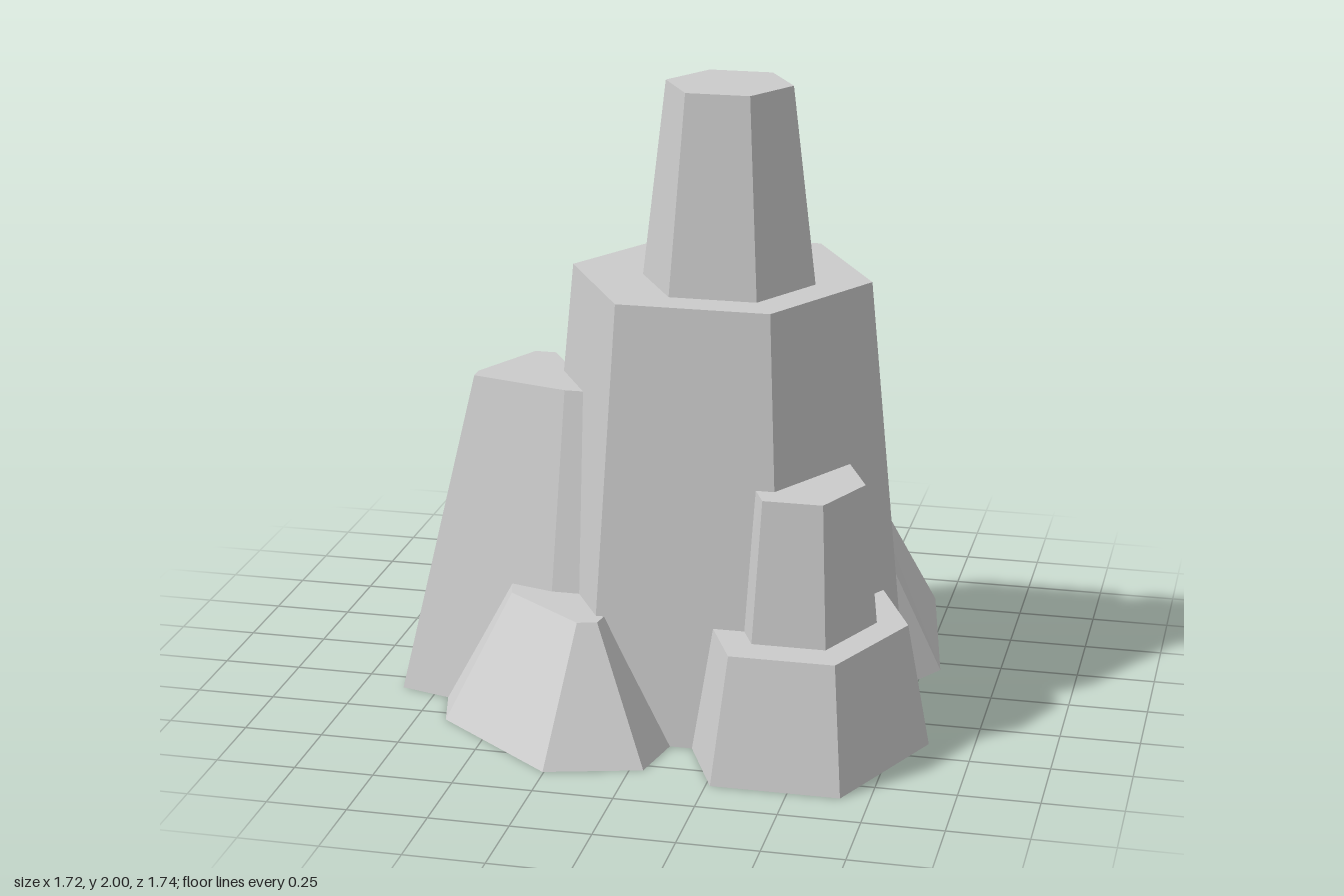
import * as THREE from 'three';

const material = new THREE.MeshStandardMaterial({ color: 0xcccccc, flatShading: true });

// Six-sided ring of [x, z] points, counter-clockwise from above; rx to the corner, az to the flat side
function hex(cx, cz, rx, az = rx * Math.sqrt(3) / 2) {
  const rz = az / (Math.sqrt(3) / 2);
  return Array.from({ length: 6 }, (_, i) => {
    const a = i * Math.PI / 3;
    return [cx + rx * Math.cos(a), cz - rz * Math.sin(a)];
  });
}

// Closed tapered column between a bottom and a top ring
function column(name, bottom, top, y0, y1) {
  const pos = [];
  const n = bottom.length;
  const b = i => [bottom[i % n][0], y0, bottom[i % n][1]];
  const t = i => [top[i % n][0], y1, top[i % n][1]];
  for (let i = 0; i < n; i++) {
    pos.push(...b(i), ...b(i + 1), ...t(i + 1), ...b(i), ...t(i + 1), ...t(i));
    if (i > 0 && i < n - 1) {
      pos.push(...t(0), ...t(i), ...t(i + 1), ...b(0), ...b(i + 1), ...b(i));
    }
  }
  const geometry = new THREE.BufferGeometry();
  geometry.setAttribute('position', new THREE.Float32BufferAttribute(pos, 3));
  geometry.computeVertexNormals();
  const mesh = new THREE.Mesh(geometry, material);
  mesh.name = name;
  return mesh;
}

export function createModel() {
  const group = new THREE.Group();
  group.name = 'rockFormation';

  group.add(
    // Central stack
    column('mainRock', hex(0.125, 0.066, 0.61), hex(0.125, 0.066, 0.477), 0, 1.38),
    column('peak', hex(0.163, 0.132, 0.273), hex(0.163, 0.132, 0.199), 1.38, 2),

    // Wide back shoulder
    column('backRock', hex(-0.225, -0.32, 0.55), hex(-0.225, -0.32, 0.355), 0, 0.73),

    // Two-tier front rock
    column('frontLowerTier', hex(0.4625, 0.4, 0.3975, 0.45), hex(0.4625, 0.4, 0.325, 0.365), 0, 0.39),
    column('frontUpperTier', hex(0.4625, 0.4, 0.2275, 0.255), hex(0.4625, 0.4, 0.185, 0.21), 0.39, 0.835),

    // Tall leaning side rock
    column('tallSideRock',
      [[-0.864, 0.07], [-0.864, 0.333], [-0.355, 0.477], [-0.1, 0.477], [-0.06, 0.2], [-0.364, -0.33], [-0.67, -0.33]],
      [[-0.651, 0.125], [-0.651, 0.176], [-0.332, 0.263], [-0.22, 0.263], [-0.25, 0.235], [-0.462, -0.12], [-0.531, -0.12]],
      0, 1.025),

    // Low irregular front rock
    column('smallFrontRock',
      [[-0.73, 0.26], [-0.656, 0.55], [-0.254, 0.864], [0.042, 0.785], [0.1, 0.5], [-0.25, 0.25]],
      [[-0.5, 0.3], [-0.466, 0.43], [-0.203, 0.63], [-0.143, 0.614], [-0.125, 0.5], [-0.3, 0.28]],
      0, 0.4),

    // Sloping rear rock
    column('slopingBackRock',
      [[0.162, -0.873], [0, -0.45], [0.3, 0.1], [0.6, 0.15], [0.808, -0.194], [0.697, -0.822]],
      [[0.342, -0.587], [0.22, -0.3], [0.3, -0.15], [0.45, -0.12], [0.522, -0.245], [0.462, -0.573]],
      0, 0.565),
  );
  return group;
}
